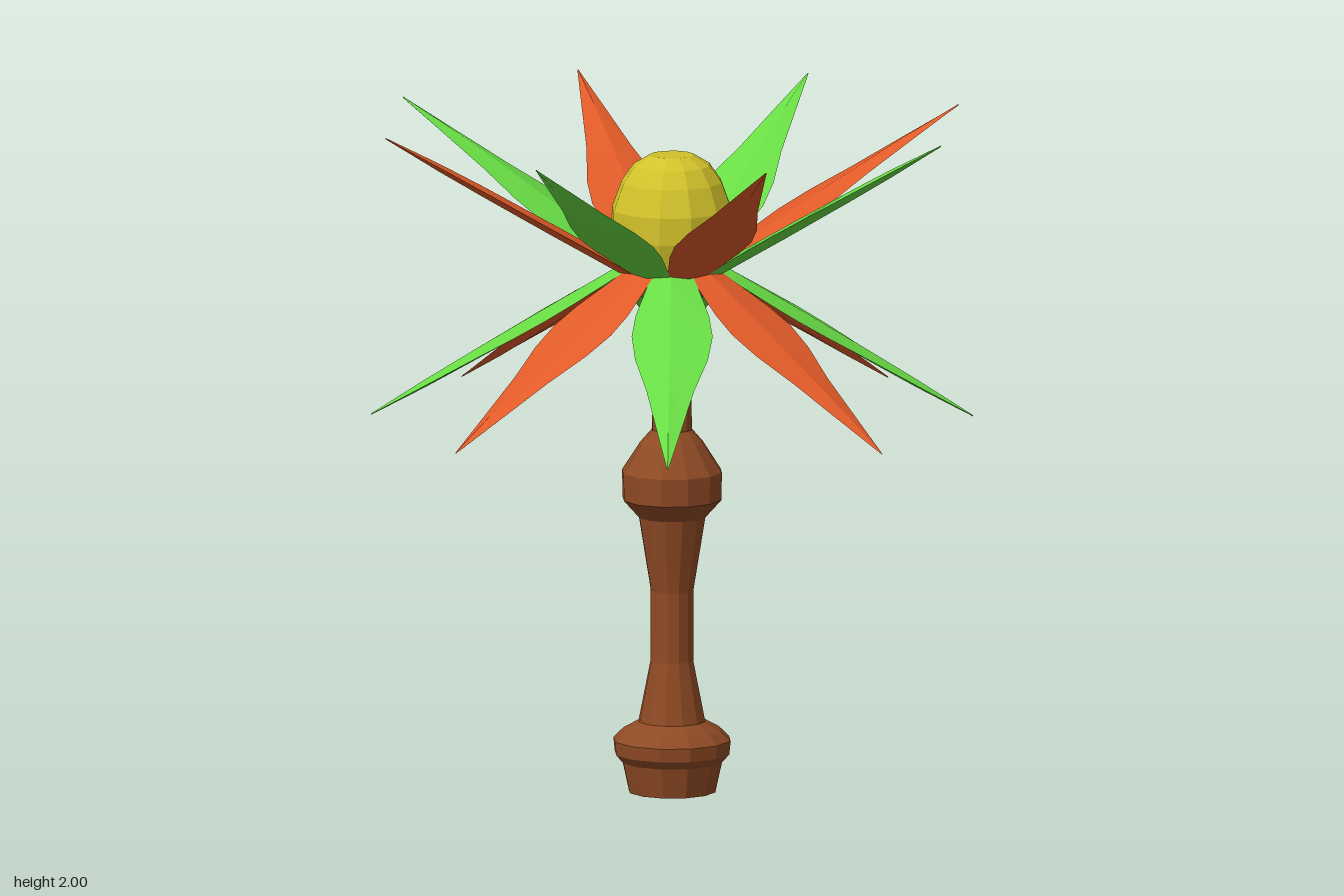
import * as THREE from 'three';

const paint = (color) => new THREE.MeshStandardMaterial({ color, flatShading: true });

// Faceted turned body from [radius, height] pairs
function turned(name, profile, material) {
  const points = profile.map(([r, y]) => new THREE.Vector2(r, y));
  const mesh = new THREE.Mesh(new THREE.LatheGeometry(points, 12), material);
  mesh.name = name;
  return mesh;
}

// Leaf stations along +x: distance, rise, half width, half thickness
const STATIONS = [
  [0.0, 0.0, 0.012, 0.004],
  [0.09, 0.075, 0.045, 0.014],
  [0.19, 0.137, 0.078, 0.018],
  [0.29, 0.196, 0.108, 0.018],
  [0.37, 0.243, 0.119, 0.018],
  [0.46, 0.296, 0.107, 0.017],
  [0.58, 0.367, 0.07, 0.016],
  [0.72, 0.449, 0.039, 0.012],
  [0.885, 0.545, 0.002, 0.002],
];

// Leaf with a diamond cross-section, rising (dir 1) or drooping (dir -1)
function leafGeometry(baseY, dir) {
  const positions = [];
  const index = [];
  STATIONS.forEach(([x, rise, w, t], i) => {
    const y = baseY + dir * rise;
    positions.push(x, y + t, 0, x, y, w * 0.95, x, y - t, 0, x, y, -w * 1.05);
    if (i === 0) return;
    for (let j = 0; j < 4; j++) {
      const a = (i - 1) * 4 + j;
      const b = (i - 1) * 4 + ((j + 1) % 4);
      index.push(a, b, a + 4, b, b + 4, a + 4);
    }
  });
  // End caps
  const n = (STATIONS.length - 1) * 4;
  index.push(0, 2, 1, 0, 3, 2, n, n + 1, n + 2, n, n + 2, n + 3);
  const geometry = new THREE.BufferGeometry();
  geometry.setAttribute('position', new THREE.Float32BufferAttribute(positions, 3));
  geometry.setIndex(index);
  geometry.computeVertexNormals();
  return geometry;
}

// Ring of eight leaves with alternating colours
function leafRing(name, geometry, startDegrees, materials) {
  const ring = new THREE.Group();
  ring.name = name;
  for (let k = 0; k < 8; k++) {
    const leaf = new THREE.Mesh(geometry, materials[k % 2]);
    leaf.name = 'leaf';
    leaf.rotation.y = -THREE.MathUtils.degToRad(startDegrees + 45 * k);
    ring.add(leaf);
  }
  return ring;
}

export function createModel() {
  const model = new THREE.Group();
  model.name = 'flowerStaff';
  const orange = paint(0xe05a28);
  const green = paint(0x68dc44);

  // Handle with a pommel, a middle collar and a flared top
  model.add(turned('handle', [
    [0, 0], [0.13, 0], [0.15, 0.09], [0.172, 0.115], [0.176, 0.155], [0.145, 0.185],
    [0.1, 0.21], [0.064, 0.39], [0.064, 0.6], [0.1, 0.82], [0.148, 0.873],
    [0.15, 0.955], [0.095, 1.04], [0.06, 1.08], [0.058, 1.19], [0.083, 1.33],
    [0.083, 1.43], [0.1, 1.52], [0, 1.52],
  ], paint(0x8f4a24)));

  // Domed bud
  model.add(turned('bud', [
    [0, 1.52], [0.11, 1.52], [0.165, 1.58], [0.183, 1.66], [0.18, 1.74],
    [0.15, 1.82], [0.115, 1.87], [0.065, 1.9], [0, 1.9],
  ], paint(0xd2c22a)));

  // Rising and drooping leaves
  model.add(leafRing('upperLeaves', leafGeometry(1.453, 1), 0, [orange, green]));
  model.add(leafRing('lowerLeaves', leafGeometry(1.667, -1), 19, [green, orange]));
  return model;
}
